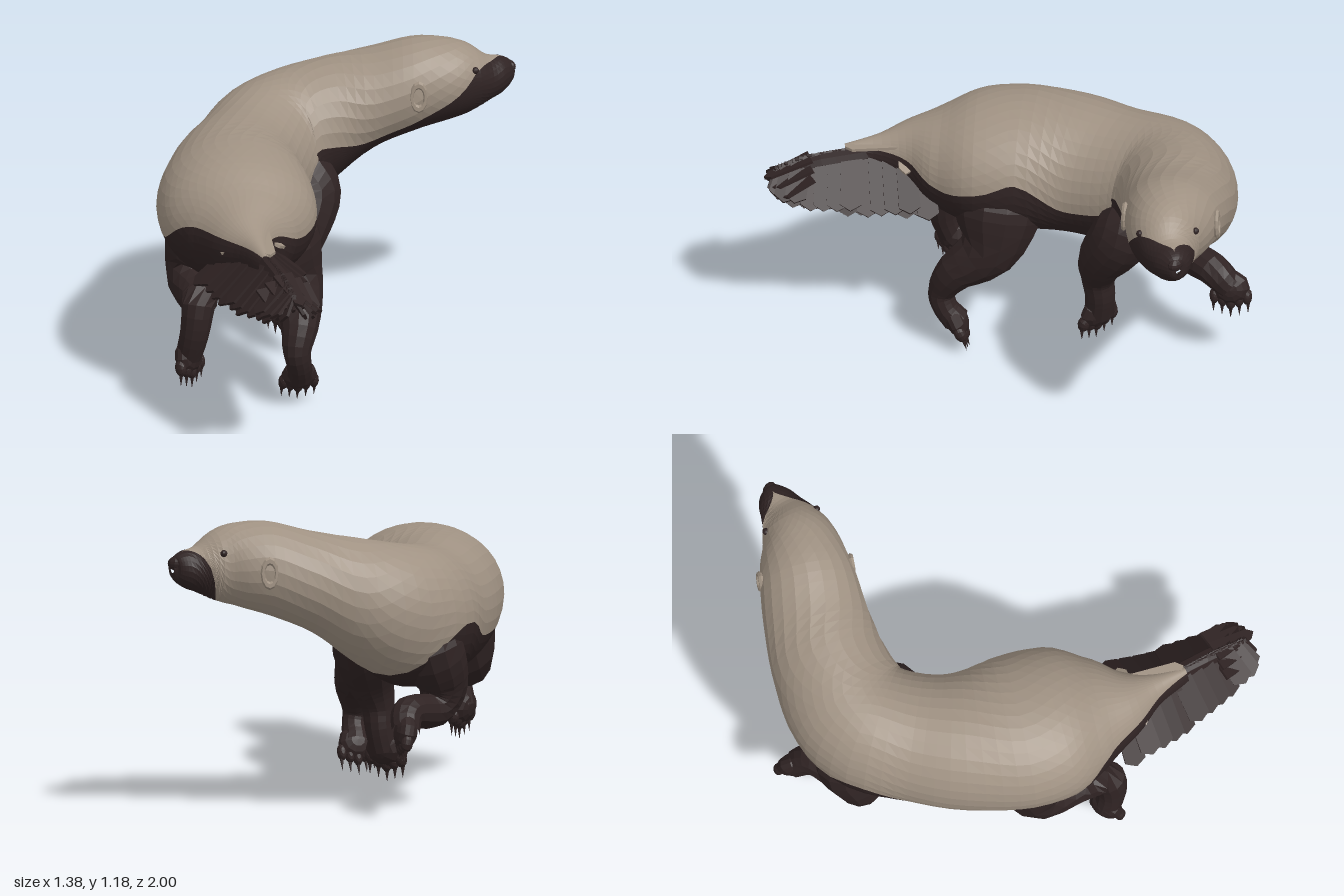
import * as THREE from 'three';

const V = (x, y, z) => new THREE.Vector3(x, y, z);
const UP = V(0, 1, 0);

export function createModel() {
  const model = new THREE.Group();
  const tan = new THREE.MeshStandardMaterial({ color: 0xa09283, name: 'tan fur' });
  const dark = new THREE.MeshStandardMaterial({ color: 0x2f2323, name: 'dark fur' });

  const add = (name, geo, mat, parent = model) => {
    const flat = geo.index ? geo.toNonIndexed() : geo;
    flat.computeVertexNormals();
    const m = new THREE.Mesh(flat, mat);
    m.name = name;
    parent.add(m);
    return m;
  };

  // Skin over a list of rings
  const skin = (rings) => {
    const n = rings[0].length, pos = [], idx = [];
    rings.forEach((r) => r.forEach((p) => pos.push(p.x, p.y, p.z)));
    for (let i = 0; i < rings.length - 1; i++)
      for (let k = 0; k < n - 1; k++) {
        const a = i * n + k, b = a + n;
        idx.push(a, b, a + 1, a + 1, b, b + 1);
      }
    const g = new THREE.BufferGeometry();
    g.setAttribute('position', new THREE.Float32BufferAttribute(pos, 3));
    g.setIndex(idx);
    return g;
  };
  const curve = (pts) => new THREE.CatmullRomCurve3(pts, false, 'catmullrom', 0.5);

  // Body: centre x y z, half width, half height, start and end angle of the dark fur
  const body = [
    [0.15, 0.995, -0.985, 0.01, 0.015, 0, 360],
    [0.147, 0.995, -0.97, 0.04, 0.05, 0, 360],
    [0.13, 0.99, -0.935, 0.07, 0.074, 2, 358],
    [0.105, 0.985, -0.885, 0.092, 0.092, 30, 305],
    [0.065, 0.995, -0.82, 0.125, 0.138, 68, 190],
    [0.01, 0.995, -0.75, 0.158, 0.165, 108, 162],
    [-0.09, 0.975, -0.66, 0.19, 0.187, 128, 162],
    [-0.21, 0.92, -0.55, 0.21, 0.2, 126, 155],
    [-0.32, 0.845, -0.43, 0.23, 0.245, 100, 165],
    [-0.405, 0.78, -0.3, 0.25, 0.28, 85, 218],
    [-0.43, 0.75, -0.17, 0.255, 0.285, 88, 267],
    [-0.38, 0.735, 0, 0.25, 0.275, 102, 252],
    [-0.3, 0.74, 0.17, 0.275, 0.275, 102, 249],
    [-0.165, 0.745, 0.335, 0.312, 0.27, 79, 250],
    [-0.03, 0.74, 0.46, 0.298, 0.25, 90, 259],
    [0.065, 0.73, 0.555, 0.225, 0.2, 94, 284],
    [0.15, 0.735, 0.64, 0.14, 0.145, 77, 292],
    [0.25, 0.745, 0.71, 0.065, 0.085, 60, 300],
    [0.37, 0.735, 0.79, 0.03, 0.06, 30, 330],
  ];
  const path = curve(body.map((b) => V(b[0], b[1], b[2])));
  const size = curve(body.map((b) => V(b[3], b[4], 0)));
  const seam = curve(body.map((b) => V(b[5], b[6], 0)));
  const bodyPoint = (t, deg, grow = 1) => {
    const c = path.getPoint(t), s = size.getPoint(t), a = THREE.MathUtils.degToRad(deg);
    const side = UP.clone().cross(path.getTangent(t)).normalize();
    return c.addScaledVector(side, Math.sin(a) * s.x * grow).addScaledVector(UP, Math.cos(a) * s.y * grow);
  };
  const coat = (range) => {
    const rings = [];
    for (let i = 0; i <= 72; i++) {
      const t = i / 72, s = seam.getPoint(t), [a, b] = range(s), ring = [];
      for (let k = 0; k <= 20; k++) ring.push(bodyPoint(t, a + (b - a) * k / 20));
      rings.push(ring);
    }
    return skin(rings);
  };
  const lim = (v) => THREE.MathUtils.clamp(v, 0, 360);
  add('darkUnderside', coat((s) => [lim(s.x), lim(s.y)]), dark);
  add('paleBack', coat((s) => [lim(s.y), 360 + lim(s.x)]), tan);

  const ball = (name, p, sx, sy, sz, mat, parent) => {
    const m = add(name, new THREE.SphereGeometry(1, 10, 8), mat, parent);
    m.position.copy(p);
    m.scale.set(sx, sy, sz);
    return m;
  };

  // Nose, eyes and small flat ears
  ball('nose', V(0.148, 1.015, -0.965), 0.035, 0.028, 0.025, dark);
  for (const s of [1, -1]) {
    ball('eye', bodyPoint(4 / 18, s * 62), 0.014, 0.014, 0.014, dark);
    const ear = new THREE.Group(), t = 5.85 / 18;
    ear.name = s > 0 ? 'leftEar' : 'rightEar';
    ear.position.copy(bodyPoint(t, s * 88, 0.99));
    ear.lookAt(bodyPoint(t, s * 88, 2));
    const rim = add('earRim', new THREE.TorusGeometry(0.037, 0.012, 6, 12), tan, ear);
    rim.scale.set(0.75, 1.35, 0.9);
    model.add(ear);
  }

  // Limb: points x y z radius, then a paw facing a direction
  const limb = (name, pts, forward, pawWidth) => {
    const g = new THREE.Group();
    g.name = name;
    const c = curve(pts.map((p) => V(p[0], p[1], p[2])));
    const r = curve(pts.map((p) => V(p[3], 0, 0)));
    const rings = [];
    for (let i = 0; i <= 20; i++) {
      const t = i / 20, T = c.getTangent(t), p = c.getPoint(t), rad = r.getPoint(t).x;
      const U = V(1, 0, 0).addScaledVector(T, -T.x).normalize(), S = U.clone().cross(T);
      const ring = [];
      for (let k = 0; k <= 12; k++) {
        const a = k / 12 * Math.PI * 2;
        ring.push(p.clone().addScaledVector(S, Math.sin(a) * rad).addScaledVector(U, Math.cos(a) * rad));
      }
      rings.push(ring);
    }
    add('leg', skin(rings), dark, g);
    const last = pts[pts.length - 1];
    const paw = new THREE.Group();
    paw.name = 'paw';
    paw.position.set(last[0], last[1], last[2]);
    paw.lookAt(paw.position.clone().add(V(...forward)));
    paw.scale.x = pawWidth;
    ball('pad', V(0, 0, 0), 0.068, 0.045, 0.07, dark, paw);
    for (let i = -2; i <= 2; i++) {
      const z = 0.06 - Math.abs(i) * 0.012;
      ball('toe', V(i * 0.029, 0, z), 0.019, 0.024, 0.035, dark, paw);
      const claw = add('claw', new THREE.ConeGeometry(0.01, 0.06, 5), dark, paw);
      claw.position.set(i * 0.031, -0.004, z + 0.045);
      claw.rotation.x = Math.PI / 2 + 0.2;
    }
    g.add(paw);
    model.add(g);
  };
  limb('rightFrontLeg', [[-0.5, 0.74, -0.21, 0.1], [-0.563, 0.63, -0.215, 0.128], [-0.57, 0.48, -0.15, 0.1],
    [-0.56, 0.39, -0.2, 0.072], [-0.55, 0.4, -0.36, 0.066], [-0.585, 0.335, -0.435, 0.055]], [0.15, -1, -0.15], 1.1);
  limb('leftFrontLeg', [[-0.28, 0.74, -0.2, 0.1], [-0.23, 0.62, -0.2, 0.125], [-0.2, 0.47, -0.11, 0.1],
    [-0.21, 0.36, -0.07, 0.068], [-0.22, 0.27, -0.07, 0.06], [-0.23, 0.18, -0.05, 0.06]], [0, -1, 0.2], 1.25);
  limb('rightHindLeg', [[-0.2, 0.7, 0.36, 0.13], [-0.23, 0.58, 0.43, 0.18], [-0.25, 0.46, 0.49, 0.11],
    [-0.13, 0.43, 0.6, 0.075], [-0.065, 0.46, 0.68, 0.068], [-0.065, 0.34, 0.705, 0.058],
    [-0.1, 0.23, 0.7, 0.052]], [0.2, -1, 0], 1);
  limb('leftHindLeg', [[-0.03, 0.72, 0.31, 0.13], [0.005, 0.6, 0.28, 0.18], [0.07, 0.45, 0.265, 0.125],
    [0.17, 0.345, 0.34, 0.082], [0.2, 0.24, 0.395, 0.058], [0.2, 0.17, 0.38, 0.05],
    [0.17, 0.11, 0.345, 0.055]], [-0.35, -0.9, -0.3], 1.05);

  // Tail: a ridge with overlapping flat tufts falling to both sides
  const tail = new THREE.Group();
  tail.name = 'tail';
  model.add(tail);
  const back = V(0.82, 0, 0.57), out = V(0.57, 0, -0.82);
  const ridge = curve([V(0.14, 0.8, 0.61), V(0.26, 0.797, 0.7), V(0.38, 0.787, 0.775), V(0.5, 0.772, 0.845), V(0.6, 0.725, 0.905)]);
  const tuft = (a, b, across, w0, w1, mat) => {
    const dir = b.clone().sub(a), len = dir.length();
    dir.normalize();
    const x = across.clone().addScaledVector(dir, -across.dot(dir)).normalize();
    const geo = new THREE.BoxGeometry(1, len, 0.012, 2, 1, 1), p = geo.attributes.position;
    for (let i = 0; i < p.count; i++) {
      const end = p.getY(i) > 0, px = p.getX(i);
      p.setX(i, px * (end ? w1 : w0));
      if (end) p.setY(i, p.getY(i) - Math.abs(px) * 0.05);
    }
    geo.applyMatrix4(new THREE.Matrix4().makeBasis(x, dir, x.clone().cross(dir)));
    const mid = a.clone().add(b).multiplyScalar(0.5);
    geo.translate(mid.x, mid.y, mid.z);
    add('tuft', geo, mat, tail);
  };
  add('tailCore', new THREE.TubeGeometry(ridge, 10, 0.035, 8), dark, tail).position.y = -0.04;
  for (const s of [1, -1])
    for (let layer = 0; layer < 3; layer++)
      for (let i = 0; i < 11; i++) {
        const t = Math.min(1, (i + layer * 0.35) / 11), p = ridge.getPoint(t);
        const wob = ((i * 7 + layer * 5) % 4) * 0.009;
        const reach = [0.225, 0.18, 0.1][layer] * (1 - 0.5 * t);
        const drop = [0.225, 0.25, 0.24][layer] * (1 - 0.6 * t ** 3) - wob;
        const tip = p.clone().addScaledVector(out, s * reach).addScaledVector(back, 0.06 * t - 0.02 + wob * 0.5);
        tip.y -= drop;
        p.y -= 0.012;
        tuft(p, tip, back, 0.08, 0.085, dark);
      }
  for (let i = -2; i <= 2; i++) {
    const a = ridge.getPoint(0.75).addScaledVector(out, i * 0.035);
    a.y -= 0.01 + Math.abs(i) * 0.025;
    const b = V(0.67, 0.695, 0.925).addScaledVector(out, i * 0.04).addScaledVector(back, -Math.abs(i) * 0.03);
    b.y -= Math.abs(i) * 0.025;
    tuft(a, b, out, 0.08, 0.045, dark);
  }
  // Pale tufts where the tail leaves the rump, and the pale stripe on its ridge
  for (const s of [1, -1]) {
    const a = ridge.getPoint(0.06);
    tuft(a, a.clone().addScaledVector(out, s * 0.13).add(V(0.02, -0.07, 0.02)), back, 0.09, 0.06, tan);
  }
  const r0 = ridge.getPoint(0.02), r1 = ridge.getPoint(0.5);
  r0.y += 0.015;
  r1.y += 0.004;
  tuft(r0, r1, out, 0.13, 0.055, tan);
  return model;
}
